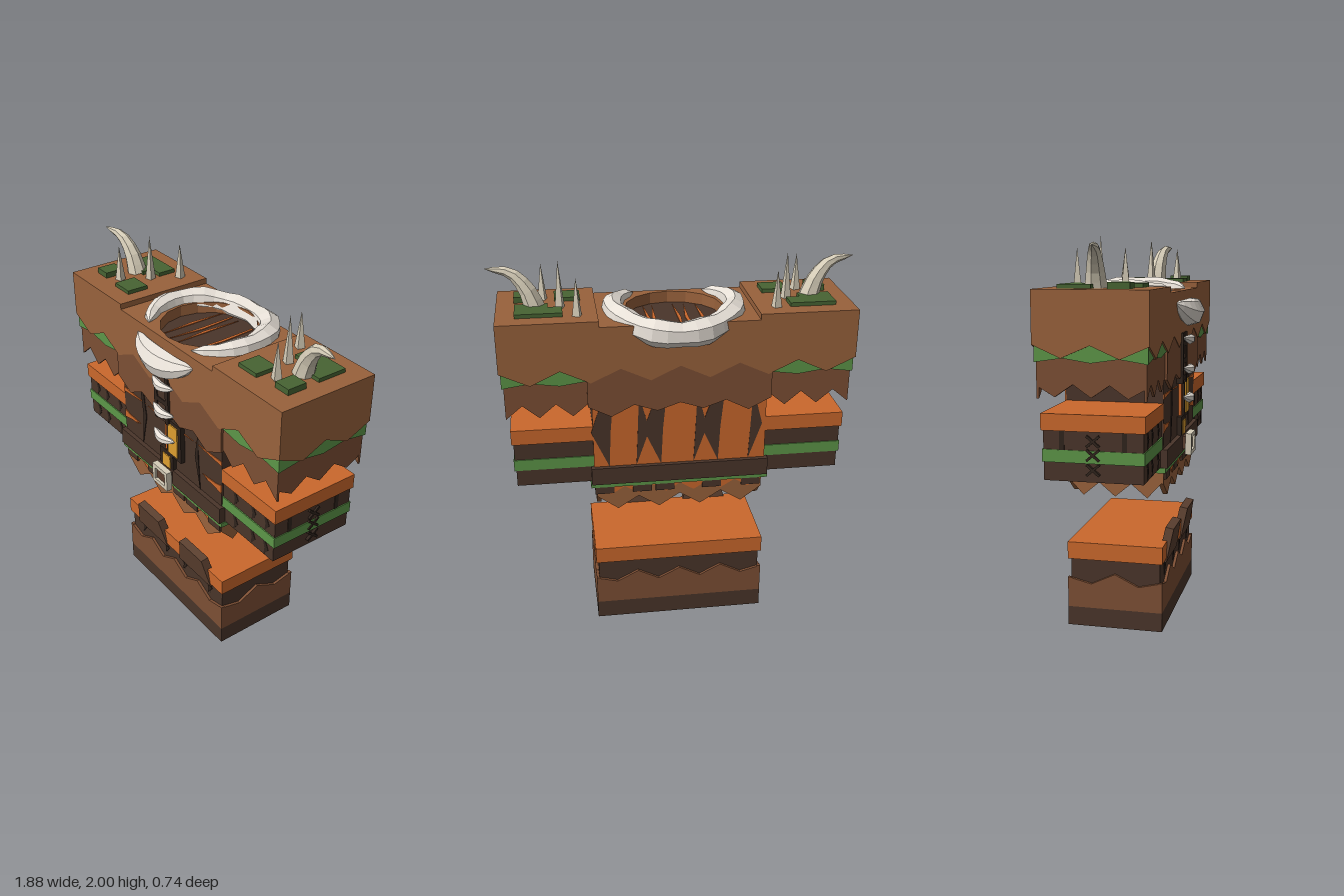
import * as THREE from 'three';

const mat = (color, side = THREE.FrontSide) =>
  new THREE.MeshStandardMaterial({ color, flatShading: true, side });
const M = {
  brown: mat(0x99623c), leather: mat(0x7d4f34), dark: mat(0x4a352a), black: mat(0x30241d),
  orange: mat(0xcb682c), green: mat(0x5d9648), moss: mat(0x476433), gold: mat(0xdf9f30),
  bone: mat(0xe8e1d8), horn: mat(0xd6cdb8), flap: mat(0x5c4030),
};

export function createModel() {
  const root = new THREE.Group();

  const add = (name, geo, material, parent = root) => {
    const m = new THREE.Mesh(geo, material);
    m.name = name;
    parent.add(m);
    return m;
  };
  // Box given by its limits on each axis
  const box = (name, material, x0, x1, y0, y1, z0, z1) => {
    const m = add(name, new THREE.BoxGeometry(Math.abs(x1 - x0), y1 - y0, z1 - z0), material);
    m.position.set((x0 + x1) / 2, (y0 + y1) / 2, (z0 + z1) / 2);
    return m;
  };
  // Flat outline extruded towards +z
  const plate = (name, material, pts, depth) => add(name, new THREE.ExtrudeGeometry(
    new THREE.Shape(pts.map(p => new THREE.Vector2(p[0], p[1]))), { depth, bevelEnabled: false }), material);
  // Panel with a straight edge and a zigzag edge, its outer face at distance d in direction angle
  const zig = (name, material, u0, u1, yEdge, ys, d, angle, t = 0.012) => {
    const pts = ys.map((y, i) => [u0 + (u1 - u0) * i / (ys.length - 1), y]);
    const m = plate(name, material, [[u0, yEdge], ...pts, [u1, yEdge]], t);
    m.geometry.translate(0, 0, d - t);
    m.rotation.y = angle;
    return m;
  };
  const teeth = (n, a, b) => Array.from({ length: n + 1 }, (_, i) => (i % 2 ? b : a));
  // Tapered faceted tube along a curve
  const taper = (name, material, points, radius, steps = 12, sides = 6, squash = 1) => {
    const curve = new THREE.CatmullRomCurve3(points.map(p => new THREE.Vector3(...p)));
    const geo = new THREE.TubeGeometry(curve, steps, 1, sides);
    const pos = geo.attributes.position, v = new THREE.Vector3();
    for (let i = 0; i < pos.count; i++) {
      const t = Math.floor(i / (sides + 1)) / steps, c = curve.getPointAt(t);
      v.fromBufferAttribute(pos, i).sub(c).multiplyScalar(radius(t));
      v.y *= squash;
      v.add(c);
      pos.setXYZ(i, v.x, v.y, v.z);
    }
    return add(name, geo, material);
  };
  // Jagged vertical stripe on a face
  const stripe = (name, material, x, y0, y1, w, z, lean = 0.02) => {
    const ym = (y0 + y1) / 2;
    const m = plate(name, material, [[x, y0], [x + w + lean, ym], [x + lean * 0.5, y1], [x - w * 0.6, y1], [x - w + lean, ym]], 0.004);
    m.position.z = z;
    return m;
  };

  // Boots
  box('bootSole', M.dark, -0.46, 0.46, 0, 0.1, -0.25, 0.25);
  box('bootCore', M.dark, -0.445, 0.445, 0.1, 0.36, -0.235, 0.235);
  box('bootTop', M.orange, -0.46, 0.46, 0.36, 0.45, -0.25, 0.25);
  for (const a of [0, Math.PI]) {
    zig('bootLeather', M.leather, -0.46, 0.46, 0.1, [0.26, 0.23, 0.29, 0.23, 0.29, 0.23, 0.29, 0.23, 0.26], 0.25, a, 0.02);
    zig('bootLeather', M.leather, -0.25, 0.25, 0.1, [0.26, 0.23, 0.29, 0.23, 0.26], 0.46, a + Math.PI / 2, 0.02);
    for (const x of [-0.34, -0.1, 0.08, 0.32])
      stripe('bootStripe', M.black, x, 0.27, 0.36, 0.015, 0.235).rotation.y = a;
  }
  for (const s of [-1, 1]) {
    const f = plate('bootFlap', M.flap, [[-0.15, 0], [0.15, 0], [0.105, 0.17], [-0.105, 0.17]], 0.045);
    f.position.set(s * 0.21, 0.35, 0.207);
    f.rotation.x = 0.18;
  }

  // Torso and its stripes
  box('torso', M.dark, -0.45, 0.45, 0.84, 1.53, -0.25, 0.25);
  box('torsoBack', M.orange, -0.45, 0.45, 0.96, 1.4, -0.256, -0.25);
  for (const [i, x] of [-0.36, -0.2, -0.07, 0.1, 0.23, 0.37].entries())
    stripe('backStripe', M.dark, x, 0.96, 1.36, 0.03 + 0.02 * (i % 2), -0.262, i % 2 ? 0.04 : -0.04);
  for (const s of [-1, 1]) {
    stripe('frontStripe', M.black, s * 0.27, 0.96, 1.34, 0.015, 0.251, -s * 0.03);
    for (const [x, y, w, h] of [[0.45, 1.21, -0.22, 0.025], [0.45, 1.09, -0.13, -0.04], [0.45, 1.04, -0.16, 0.04], [0.09, 1.22, 0.12, 0.01]])
      plate('frontMark', M.orange, s > 0
        ? [[x, y], [x, y + h], [x + w, y + h * 0.8]]
        : [[-x, y], [-x - w, y + h * 0.8], [-x, y + h]], 0.004).position.z = 0.25;
  }

  // Belt, trim and skirt
  box('belt', M.dark, -0.465, 0.465, 0.865, 0.96, -0.28, 0.275);
  box('beltTrim', M.green, -0.47, 0.47, 0.84, 0.866, -0.265, 0.265);
  for (const a of [0, Math.PI]) {
    zig('skirt', M.brown, -0.44, 0.44, 0.84, [0.78, ...teeth(6, 0.7, 0.77), 0.78], 0.25, a, 0.025);
    zig('skirt', M.brown, -0.25, 0.25, 0.84, [0.79, 0.7, 0.77, 0.7, 0.77, 0.7, 0.79], 0.44, a + Math.PI / 2, 0.025);
    zig('skirtFringe', M.orange, -0.44, 0.44, 0.84, teeth(12, 0.835, 0.79), 0.256, a, 0.006);
    for (const x of [-0.38, -0.17, 0.08, 0.2, 0.4])
      box('skirtPatch', M.dark, x - 0.05, x + 0.05, 0.8, 0.84, a ? -0.262 : 0.25, a ? -0.25 : 0.262);
  }
  for (const x of [-0.33, -0.2, -0.05, 0.12, 0.22, 0.34]) {
    const m = stripe('undersideStripe', M.orange, x, -0.22, 0.22, 0.022, 0, 0.03);
    m.rotation.x = Math.PI / 2;
    m.position.y = 0.84;
  }

  // Arms
  for (const s of [-1, 1]) {
    const layer = (name, m, w, y0, y1, d) => box(name, m, s * 0.45, s * w, y0, y1, -d, d);
    layer('armBand', M.orange, 0.865, 1.11, 1.19, 0.25);
    layer('armUpper', M.dark, 0.855, 1.02, 1.11, 0.24);
    layer('armTrim', M.green, 0.86, 0.96, 1.02, 0.246);
    layer('armLower', M.dark, 0.85, 0.87, 0.96, 0.24);
    for (const a of [0, Math.PI]) for (const x of [0.54, 0.68, 0.78])
      for (const [y0, y1] of [[0.87, 0.96], [1.02, 1.11]])
        stripe('armStripe', M.black, s * x, y0, y1, 0.014, 0.238).rotation.y = a;
    for (const z of [-0.15, 0.15])
      box('armSideStripe', M.black, s * 0.84, s * 0.858, 1.02, 1.11, z - 0.012, z + 0.012);
    for (const y of [0.93, 1.0, 1.065]) for (const r of [-1, 1]) {
      const b = box('stitch', M.black, s * 0.85, s * 0.866, y - 0.006, y + 0.006, -0.04, 0.04);
      b.rotation.x = r * 0.7;
    }
  }

  // Shoulder yoke with neck opening
  const yoke = new THREE.Shape([[-0.4, -0.275], [0.4, -0.275], [0.4, 0.275], [-0.4, 0.275]].map(p => new THREE.Vector2(...p)));
  yoke.holes.push(new THREE.Path().absellipse(0, 0, 0.25, 0.25, 0, Math.PI * 2, true));
  const yokeGeo = new THREE.ExtrudeGeometry(yoke, { depth: 0.21, bevelEnabled: false, curveSegments: 8 });
  yokeGeo.rotateX(-Math.PI / 2);
  add('yoke', yokeGeo, M.brown).position.y = 1.52;
  box('neckFloor', M.dark, -0.25, 0.25, 1.53, 1.67, -0.25, 0.25);
  for (const [i, x] of [-0.14, -0.08, -0.02, 0.09, 0.14].entries()) {
    const m = stripe('neckStripe', M.orange, x, -0.2, 0.21, 0.009, 0, i % 2 ? 0.012 : -0.01);
    m.rotation.x = -Math.PI / 2;
    m.position.y = 1.67;
  }
  for (const a of [0, Math.PI]) {
    zig('yokeHem', M.brown, -0.9, 0.9, 1.525, teeth(12, 1.51, 1.44), 0.275, a);
    zig('chestFlap', M.leather, -0.47, 0.47, 1.51, [1.31, 1.25, 1.31, 1.27, 1.31, 1.27, 1.31, 1.25, 1.31], 0.272, a, 0.015);
    zig('yokeSideHem', M.brown, -0.275, 0.275, 1.525, teeth(4, 1.51, 1.45), 0.9, a + Math.PI / 2);
    zig('sideTrim', M.green, -0.265, 0.265, 1.53, teeth(4, 1.43, 1.45), 0.89, a + Math.PI / 2);
    zig('sleeveSide', M.leather, -0.26, 0.26, 1.53, [1.32, 1.27, 1.33, 1.27, 1.33, 1.27, 1.32], 0.88, a + Math.PI / 2, 0.03);
    for (const s of [-1, 1]) {
      zig('shoulderTrim', M.green, s * 0.46, s * 0.89, 1.53, teeth(3, 1.45, 1.43), 0.267, a);
      zig('sleeve', M.leather, s * 0.46, s * 0.88, 1.53, teeth(5, 1.33, 1.26), 0.26, a);
    }
  }

  // Shoulder blocks, moss, spikes and horns
  for (const s of [-1, 1]) {
    box('shoulder', M.brown, s * 0.4, s * 0.9, 1.52, 1.76, -0.275, 0.275);
    for (const [x0, x1, z0, z1, h] of [[0.57, 0.805, -0.18, -0.08, 0.02], [0.64, 0.805, -0.08, -0.02, 0.02],
      [0.475, 0.605, 0.06, 0.18, 0.02], [0.72, 0.81, 0.06, 0.165, 0.03]])
      box('moss', M.moss, s * x0, s * x1, 1.75, 1.76 + h, z0, z1);
    for (const [x, z, top] of [[0.5, -0.17, 1.95], [0.58, -0.03, 2.0], [0.665, 0.11, 1.95]]) {
      const c = add('spike', new THREE.ConeGeometry(0.029, top - 1.75, 4), M.horn);
      c.position.set(s * x, (top + 1.75) / 2, z);
      c.rotation.y = 0.5 * s;
    }
    taper('horn', M.horn, [[s * 0.7, 1.75, -0.02], [s * 0.735, 1.85, -0.015], [s * 0.81, 1.935, 0], [s * 0.94, 1.955, 0.025]],
      t => 0.055 * (1 - t) ** 0.7 + 0.001, 7, 7);
  }

  // Bone collar and chest bone
  const collar = [];
  for (let i = 0; i <= 12; i++) {
    const a = Math.PI * (-0.3 + 1.6 * i / 12), back = Math.max(0, Math.sin(a));
    collar.push([0.315 * Math.cos(a), 1.735 - 0.05 * back * back, -0.3 * Math.sin(a)]);
  }
  taper('collarBone', M.bone, collar,
    t => 0.001 + 0.068 * Math.sin(Math.PI * t) ** 0.35 * (1 + 0.09 * Math.cos(t * 44)), 24, 7);
  taper('chestBone', M.bone, [[-0.245, 1.67, 0.27], [-0.13, 1.63, 0.3], [0, 1.615, 0.31], [0.13, 1.63, 0.3], [0.245, 1.67, 0.27]],
    t => 0.001 + 0.066 * Math.sin(Math.PI * t) ** 0.7, 10, 7, 1.1);

  // Front strap, fang toggles, clasp and buckle
  for (const x of [-0.08, 0.02]) box('strapRail', M.black, x - 0.013, x + 0.013, 1.24, 1.51, 0.25, 0.285);
  box('strap', M.dark, -0.07, 0.01, 1.24, 1.51, 0.25, 0.279);
  for (const y of [1.27, 1.36, 1.45]) box('strapRung', M.black, -0.08, 0.02, y - 0.013, y + 0.013, 0.25, 0.284);
  box('strapLow', M.orange, -0.03, 0.0, 1.03, 1.25, 0.25, 0.265);
  box('claspFrame', M.black, 0, 0.13, 1.05, 1.27, 0.25, 0.276);
  box('clasp', M.gold, 0.02, 0.105, 1.07, 1.25, 0.26, 0.283);
  box('claspFrame', M.black, -0.07, 0.05, 0.96, 1.06, 0.25, 0.274);
  box('clasp', M.gold, -0.04, 0.03, 0.96, 1.035, 0.26, 0.28);
  for (const y of [1.47, 1.31, 1.155])
    taper('fang', M.bone, [[-0.095, y + 0.015, 0.29], [0, y, 0.307], [0.095, y + 0.015, 0.29]],
      t => 0.001 + 0.024 * Math.sin(Math.PI * t) ** 0.7, 8, 6);
  box('buckleCore', M.flap, -0.045, 0.045, 0.88, 0.95, 0.27, 0.315);
  for (const s of [-1, 1]) {
    box('buckleSide', M.horn, s * 0.045, s * 0.068, 0.855, 0.97, 0.295, 0.328);
    const y = s > 0 ? 0.948 : 0.855;
    box('buckleBar', M.horn, -0.045, 0.045, y, y + 0.022, 0.295, 0.328);
  }
  return root;
}
